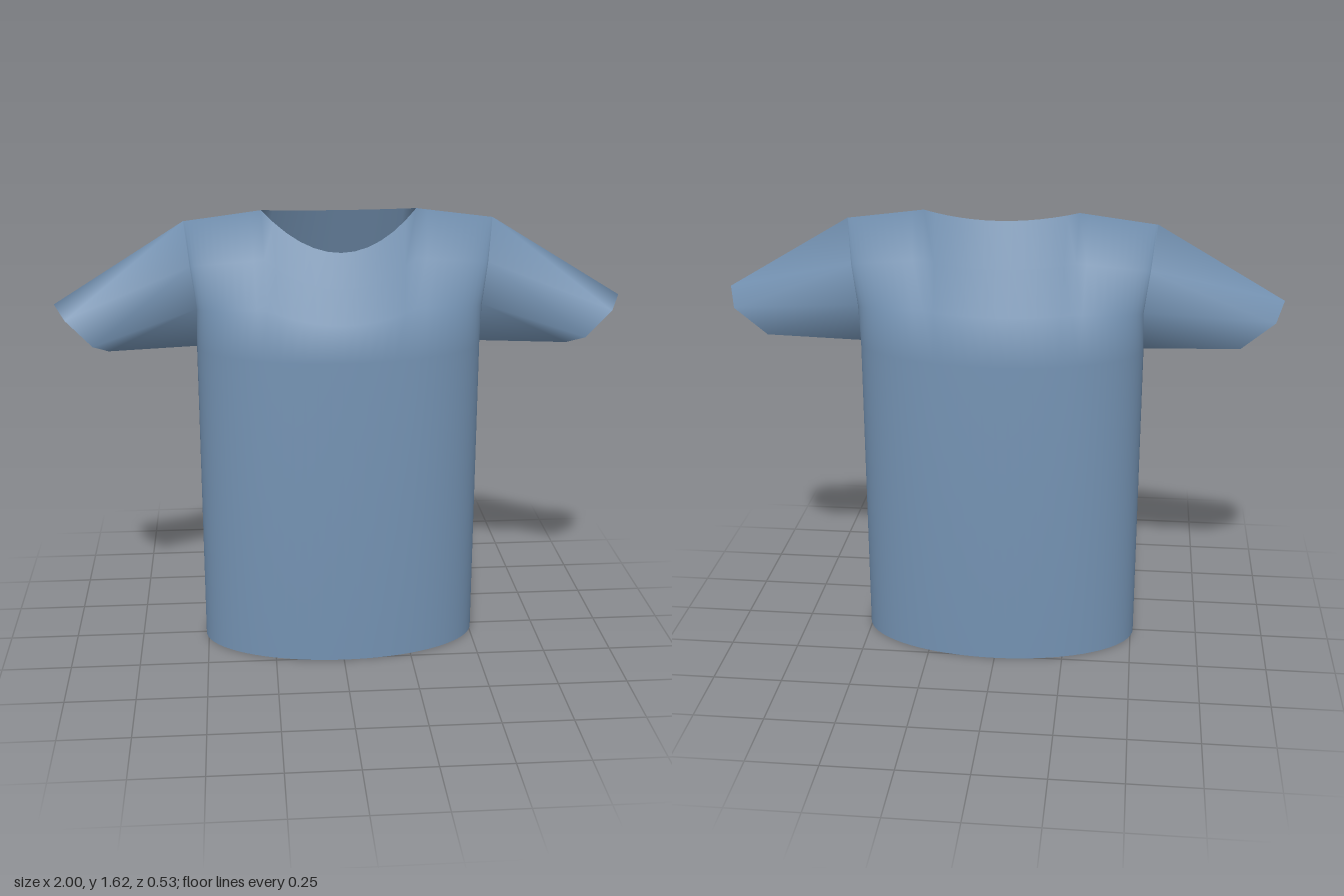
import * as THREE from 'three';
import { mergeGeometries, mergeVertices } from 'three/addons/utils/BufferGeometryUtils.js';

const RX = 0.51, RZ = 0.265, CHEST = 1.14, ROWS = 3, COLS = 36;
const V = (x, y, z) => new THREE.Vector3(x, y, z);

// Armhole edges from underarm to shoulder tip, left side
const armFront = [V(RX, CHEST, 0), V(0.505, 1.29, 0.055), V(0.525, 1.44, 0.055), V(0.545, 1.59, 0)];
const armBack = [V(RX, CHEST, 0), V(0.505, 1.29, -0.06), V(0.525, 1.44, -0.065), V(0.545, 1.59, 0)];

// Cuff opening: top, front, bottom, back
const cuff = [
  V(1, 1.315, 0.055), V(0.955, 1.28, 0.152), V(0.865, 1.185, 0.152),
  V(0.82, 1.14, 0.05), V(0.85, 1.16, -0.03), V(0.965, 1.26, -0.042),
];

// Surface grid; its outside is the cross product of the i and j directions
function grid(ni, nj, point, flip) {
  const pos = [], index = [];
  for (let j = 0; j <= nj; j++) {
    for (let i = 0; i <= ni; i++) pos.push(...point(i, j).toArray());
  }
  for (let j = 0; j < nj; j++) {
    for (let i = 0; i < ni; i++) {
      const a = j * (ni + 1) + i, b = a + 1, c = a + ni + 1, d = c + 1;
      index.push(...(flip ? [a, d, b, a, c, d] : [a, b, d, a, d, c]));
    }
  }
  const g = new THREE.BufferGeometry();
  g.setAttribute('position', new THREE.Float32BufferAttribute(pos, 3));
  g.setIndex(index);
  return g;
}

// Front or back panel: straight body, then a blended patch up to collar and armholes
function panel(front) {
  const s = front ? 1 : -1;
  const arm = front ? armFront : armBack;
  const neckY = front ? 1.493 : 1.608, neckZ = front ? 0.112 : -0.075;
  const bottom = (a) => V(RX * Math.sin(a), CHEST, s * RZ * Math.cos(a));
  const top = (a) => {
    const x = 0.545 * Math.sin(a), k = x / 0.2725;
    if (k <= 1) return V(x, neckY + (1.625 - neckY) * k * k, neckZ * (1 - k * k));
    return V(x, 1.625 - 0.035 * (k - 1), 0);
  };
  const point = (i, j) => {
    const t = (i / COLS) * 2 - 1, u = Math.abs(t), a = u * Math.PI / 2;
    const p = bottom(a);
    if (j === 0) p.y = 0;
    else {
      const v = (j - 1) / ROWS;
      p.lerp(top(a), v);
      // pull the side towards the armhole edge
      const straight = arm[0].clone().lerp(arm[ROWS], v);
      p.addScaledVector(arm[j - 1].clone().sub(straight), u * u);
    }
    if (Math.abs(p.z) < 1e-6) p.z = 0;
    if (t < 0) p.x *= -1;
    return p;
  };
  return grid(COLS, ROWS + 1, point, !front);
}

// Six-sided sleeve from armhole to cuff
function sleeve(side) {
  const hole = [armFront[3], armFront[2], armFront[1], armFront[0], armBack[1], armBack[2]];
  const point = (i, j) => {
    const p = (j ? cuff : hole)[i % 6].clone();
    p.x *= side;
    return p;
  };
  return grid(6, 1, point, side < 0);
}

export function createModel() {
  const cloth = new THREE.MeshStandardMaterial({ color: 0x7391b1, side: THREE.DoubleSide });
  cloth.name = 'blue cloth';
  const group = new THREE.Group();
  group.name = 'shirt';

  const parts = [
    ['frontPanel', panel(true)], ['backPanel', panel(false)],
    ['leftSleeve', sleeve(1)], ['rightSleeve', sleeve(-1)],
  ];

  // Shared normals keep the shading smooth across the seams
  const whole = mergeVertices(mergeGeometries(parts.map((p) => p[1])), 1e-4);
  whole.computeVertexNormals();
  const all = Array.from(whole.index.array);
  let start = 0;
  for (const [name, g] of parts) {
    const piece = new THREE.BufferGeometry();
    piece.setAttribute('position', whole.attributes.position);
    piece.setAttribute('normal', whole.attributes.normal);
    piece.setIndex(all.slice(start, start + g.index.count));
    start += g.index.count;
    const mesh = new THREE.Mesh(piece, cloth);
    mesh.name = name;
    group.add(mesh);
  }
  return group;
}
